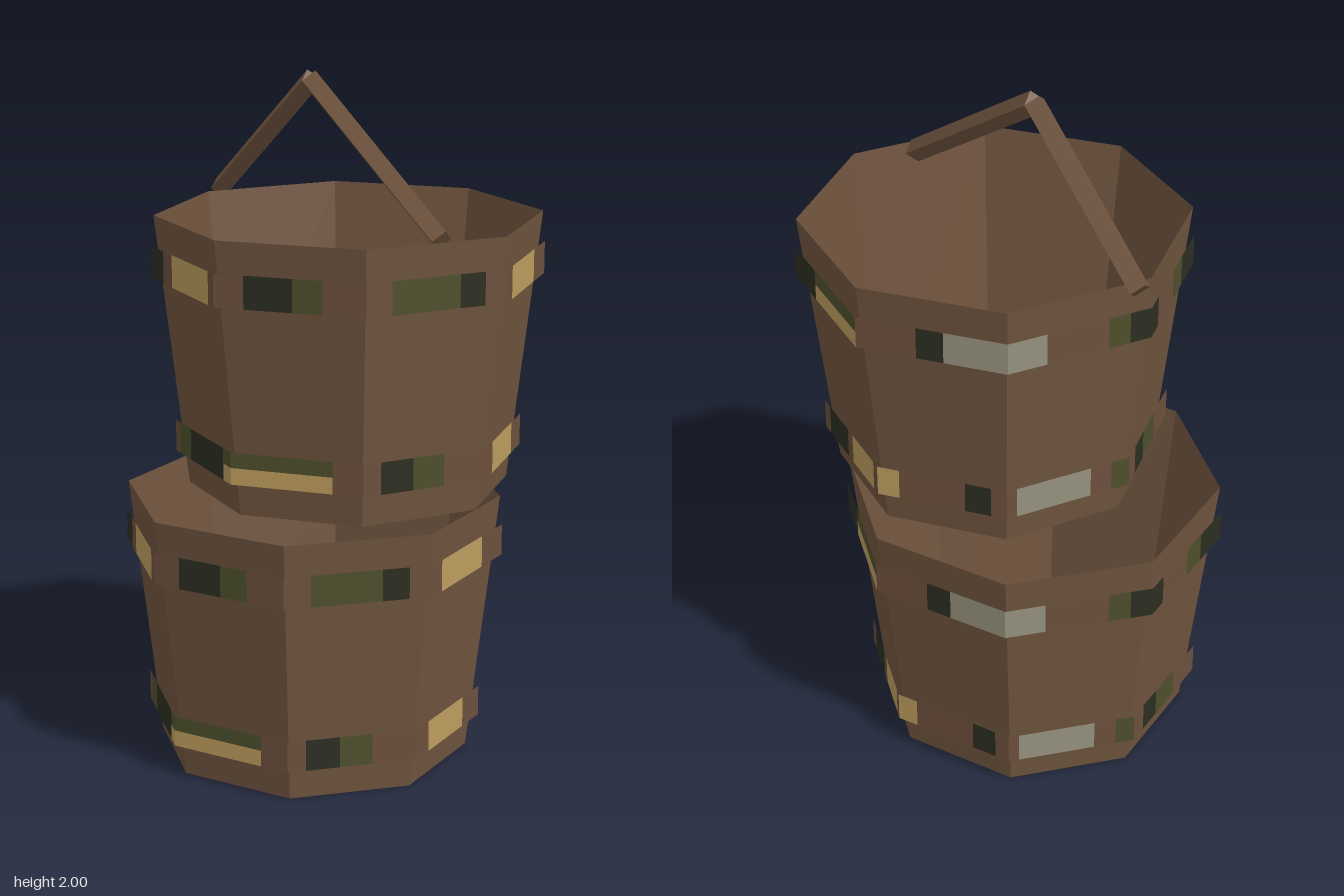
import * as THREE from 'three';

const mat = (name, color, side = THREE.FrontSide) => {
  const m = new THREE.MeshStandardMaterial({ color, flatShading: true, side });
  m.name = name;
  return m;
};

// Hoop paint, one entry per side of the octagon, running clockwise seen from above's mirror
// (left to right from outside). Each token: colour letter + end position in percent.
// w wood, k black, g green, y gold, s grey, c green over gold.
const UPPER_HOOP = [
  'k15 w50 g70 k100', 'k20 w34 y92 w100', 'w20 k52 g72 w100', 'w18 g66 k84 w100',
  'w12 y70 w100', 'k34 c100', 'w40 k58 s100', 's27 w70 g85 k100',
];
const LOWER_HOOP = [
  'w15 k36 g65 w100', 'w8 g28 k87 c100', 'c77 w100', 'w14 k40 g65 w100',
  'w17 y73 w100', 'w10 k45 w54 y93 w100', 'y17 w68 k88 w100', 'w8 s68 w85 g100',
];

export function createModel() {
  const wood = mat('wood brown', 0x71553f, THREE.DoubleSide);
  const paints = {
    w: mat('hoop brown', 0x6d503d),
    k: mat('hoop black', 0x2c2e22),
    g: mat('hoop green', 0x4e4f2c),
    y: mat('hoop gold', 0xbd9d5e),
    s: mat('hoop grey', 0x96927e),
  };

  // Open eight-sided hoop, split into one mesh per paint colour
  function makeHoop(name, radius, y0, y1, sides) {
    const hoop = new THREE.Group();
    hoop.name = name;
    const verts = { w: [], k: [], g: [], y: [], s: [] };
    const corner = (i) => {
      const a = Math.PI - i * Math.PI / 4;
      return new THREE.Vector3(radius * Math.cos(a), 0, radius * Math.sin(a));
    };
    sides.forEach((side, i) => {
      const a = corner(i), b = corner(i + 1);
      const quad = (key, u0, u1, v0, v1) => {
        const point = (u, v) => {
          const p = a.clone().lerp(b, u);
          return [p.x, y0 + (y1 - y0) * v, p.z];
        };
        const [p, q, r, s] = [point(u0, v0), point(u1, v0), point(u1, v1), point(u0, v1)];
        verts[key].push(...p, ...q, ...r, ...p, ...r, ...s);
      };
      let u = 0;
      for (const token of side.split(' ')) {
        const end = Number(token.slice(1)) / 100;
        if (token[0] === 'c') {
          quad('y', u, end, 0, 0.52);
          quad('g', u, end, 0.52, 1);
        } else quad(token[0], u, end, 0, 1);
        u = end;
      }
    });
    for (const key in verts) {
      if (!verts[key].length) continue;
      const geo = new THREE.BufferGeometry();
      geo.setAttribute('position', new THREE.Float32BufferAttribute(verts[key], 3));
      geo.computeVertexNormals();
      const mesh = new THREE.Mesh(geo, paints[key]);
      mesh.name = name + ' ' + paints[key].name;
      hoop.add(mesh);
    }
    return hoop;
  }

  // Thin tapered tub with a floor and two hoops
  function makeBucket(name) {
    const bucket = new THREE.Group();
    bucket.name = name;
    const profile = [[0, 0], [0.46, 0], [0.55, 0.78]].map(([x, y]) => new THREE.Vector2(x, y));
    const tub = new THREE.Mesh(new THREE.LatheGeometry(profile, 8), wood);
    tub.name = 'tub';
    bucket.add(tub,
      makeHoop('upperHoop', 0.557, 0.6, 0.692, UPPER_HOOP),
      makeHoop('lowerHoop', 0.497, 0.095, 0.186, LOWER_HOOP));
    return bucket;
  }

  // Square bar set on its edge between two points
  function makeBar(name, x0, y0, x1, y1) {
    const dx = x1 - x0, dy = y1 - y0;
    const bar = new THREE.Mesh(new THREE.CylinderGeometry(0.033, 0.033, Math.hypot(dx, dy), 4), wood);
    bar.name = name;
    bar.position.set((x0 + x1) / 2, (y0 + y1) / 2, 0.0135);
    bar.rotation.z = -Math.atan2(dx, dy);
    return bar;
  }

  const model = new THREE.Group();
  model.name = 'stackedBuckets';

  const lower = makeBucket('lowerBucket');
  lower.position.set(-0.05, 0, 0.015);
  const upper = makeBucket('upperBucket');
  upper.position.set(0.0625, 0.827, -0.0325);
  upper.rotation.y = 0.206;

  // Peaked handle
  const handle = new THREE.Group();
  handle.name = 'handle';
  handle.add(
    makeBar('rightHandleBar', -0.51, 1.607, -0.052, 1.973),
    makeBar('leftHandleBar', 0.52, 1.602, -0.052, 1.972));

  model.add(lower, upper, handle);
  return model;
}
